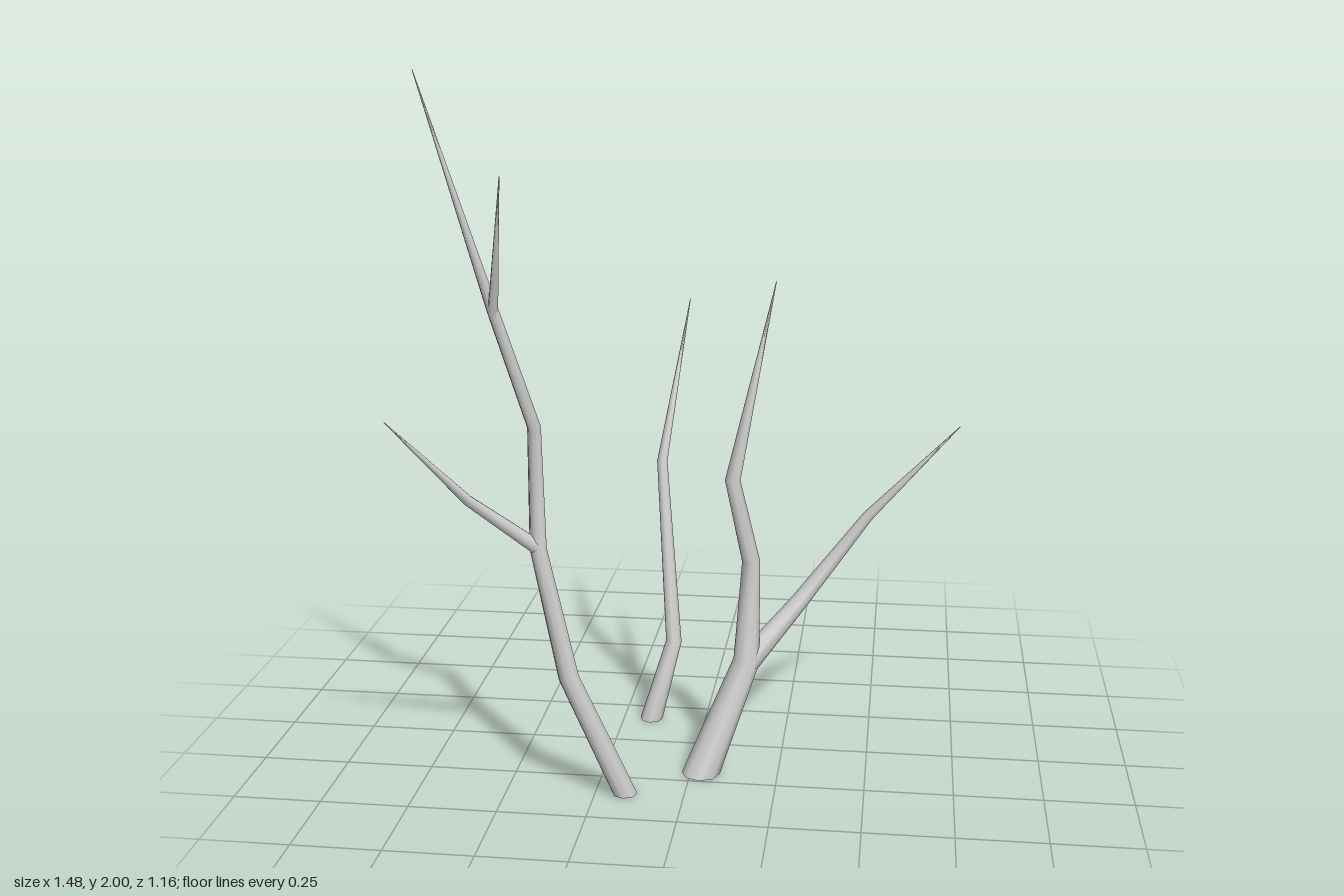
import * as THREE from 'three';

const SIDES = 8;

// Tapered limb through points [x, y, z, radius], with mitred rings at the bends.
function limb(name, points, material, fromGround = false) {
  const pts = points.map(([x, y, z]) => new THREE.Vector3(x, y, z));
  const last = pts.length - 1;
  const dir = (i) => pts[i + 1].clone().sub(pts[i]).normalize();
  const pos = [], idx = [];

  const addRing = (i) => {
    const n = new THREE.Vector3();
    if (i === 0 && fromGround) n.set(0, 1, 0);
    else {
      if (i > 0) n.add(dir(i - 1));
      if (i < last) n.add(dir(i));
      n.normalize();
    }
    const u = new THREE.Vector3(0, 0, 1).addScaledVector(n, -n.z).normalize();
    const v = n.clone().cross(u);
    for (let s = 0; s < SIDES; s++) {
      const a = (s / SIDES) * Math.PI * 2;
      const p = pts[i].clone()
        .addScaledVector(u, Math.cos(a) * points[i][3])
        .addScaledVector(v, Math.sin(a) * points[i][3]);
      pos.push(p.x, p.y, p.z);
    }
  };

  // bark rings
  for (let i = 0; i <= last; i++) addRing(i);
  for (let i = 0; i < last; i++) {
    for (let s = 0; s < SIDES; s++) {
      const a = i * SIDES + s, b = i * SIDES + (s + 1) % SIDES;
      idx.push(a, b, b + SIDES, a, b + SIDES, a + SIDES);
    }
  }
  // flat cut underneath, with its own corners for a hard edge
  const c = pos.length / 3;
  addRing(0);
  for (let s = 1; s < SIDES - 1; s++) idx.push(c, c + s + 1, c + s);

  const geo = new THREE.BufferGeometry();
  geo.setAttribute('position', new THREE.Float32BufferAttribute(pos, 3));
  geo.setIndex(idx);
  geo.computeVertexNormals();
  const mesh = new THREE.Mesh(geo, material);
  mesh.name = name;
  return mesh;
}

export function createModel() {
  const root = new THREE.Group();
  root.name = 'bareBranches';
  const mat = new THREE.MeshStandardMaterial({ color: 0xcccccc });
  const plant = (name, ...limbs) => {
    const g = new THREE.Group();
    g.name = name;
    g.add(...limbs);
    root.add(g);
  };

  // tall stem at the front, with a side branch and a fork near the top
  plant('tallBranch',
    limb('tallStem', [
      [-0.167, 0, 0.345, 0.036], [-0.312, 0.36, 0.39, 0.029], [-0.402, 0.71, 0.33, 0.024],
      [-0.408, 1.05, 0.318, 0.019], [-0.483, 1.39, 0.437, 0.016], [-0.675, 2, 0.424, 0.001],
    ], mat, true),
    limb('tallSideBranch', [
      [-0.4, 0.71, 0.33, 0.022], [-0.57, 0.87, 0.425, 0.015], [-0.743, 1.12, 0.578, 0.001],
    ], mat),
    limb('tallTopTwig', [[-0.483, 1.38, 0.437, 0.014], [-0.43, 1.75, 0.547, 0.001]], mat));

  // thick stem in the middle, with one long sideways branch
  plant('thickBranch',
    limb('thickStem', [
      [0.03, 0, 0.193, 0.055], [0.15, 0.31, 0.09, 0.038], [0.158, 0.6, 0.053, 0.026],
      [0.107, 0.85, 0.086, 0.022], [0.212, 1.39, -0.073, 0.001],
    ], mat, true),
    limb('thickSideBranch', [
      [0.148, 0.3, 0.092, 0.036], [0.288, 0.445, -0.037, 0.026],
      [0.485, 0.705, -0.085, 0.016], [0.74, 0.983, -0.078, 0.001],
    ], mat));

  // slim single stem at the back
  plant('slimBranch',
    limb('slimStem', [
      [-0.166, 0, -0.163, 0.034], [-0.102, 0.24, -0.208, 0.024],
      [-0.157, 0.77, -0.362, 0.016], [-0.096, 1.24, -0.58, 0.001],
    ], mat, true));

  return root;
}
